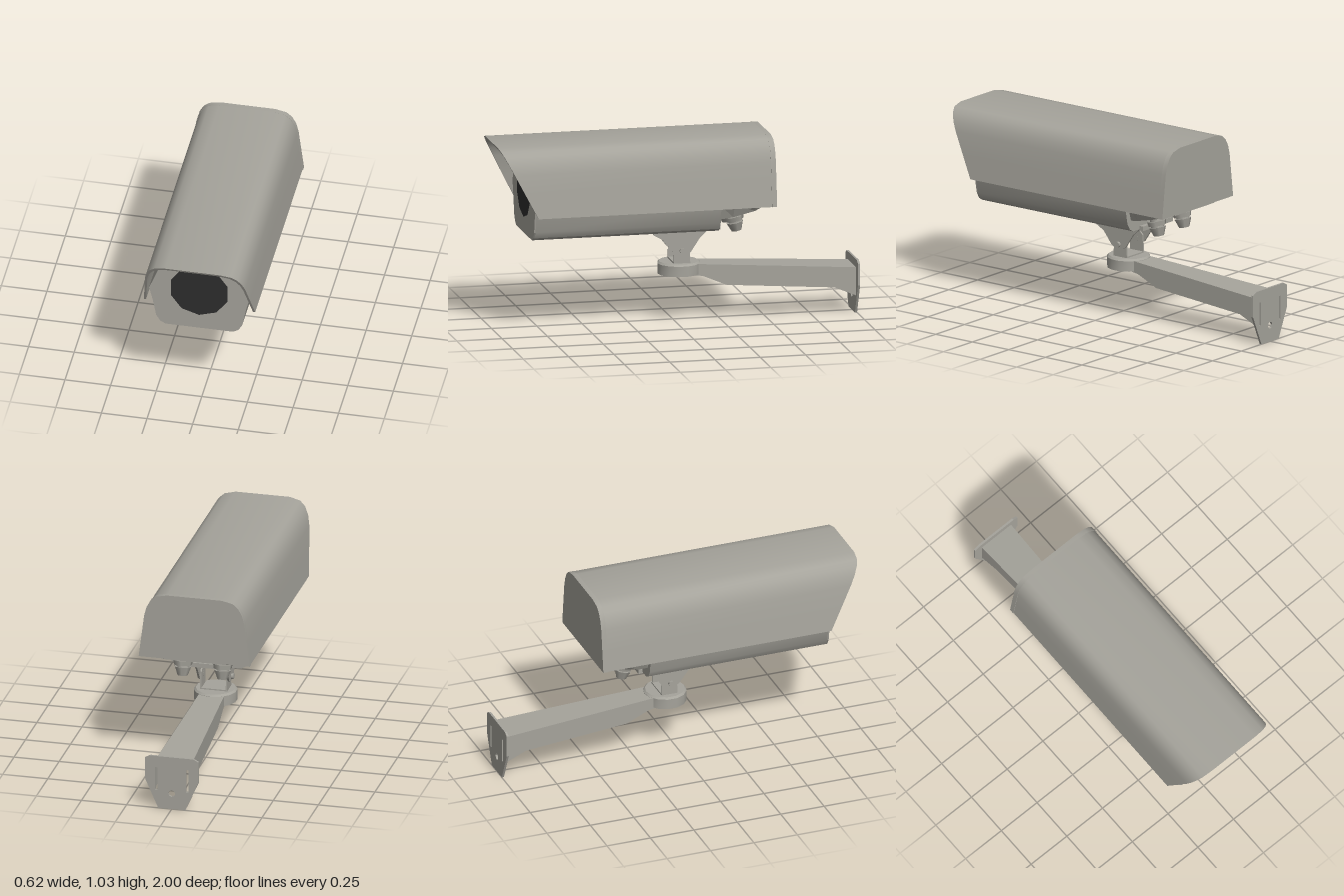
import * as THREE from 'three';
import { toCreasedNormals } from 'three/addons/utils/BufferGeometryUtils.js';

const metal = new THREE.MeshStandardMaterial({ color: 0xa5a39b, side: THREE.DoubleSide });
metal.name = 'warm grey metal';
const glass = new THREE.MeshStandardMaterial({ color: 0x2d2d2d });
glass.name = 'dark glass';

const shapeOf = (pts) => new THREE.Shape(pts.map(([x, y]) => new THREE.Vector2(x, y)));

// right half of an outline, continued by its mirror image
const mirrored = (half) => [...half, ...half.slice().reverse().map(([x, y]) => [-x, y])];

const circleHole = (x, y, r) => new THREE.Path().absarc(x, y, r, 0, Math.PI * 2, true);

// front outline extruded from z0 to z1
function frontExtrude(shape, z0, z1) {
  return new THREE.ExtrudeGeometry(shape, { depth: z1 - z0, bevelEnabled: false, curveSegments: 4 })
    .translate(0, 0, z0);
}

// side outline given as (z, y), extruded to a given width centred on x
function sideExtrude(shape, width) {
  return new THREE.ExtrudeGeometry(shape, { depth: width, bevelEnabled: false, curveSegments: 4 })
    .rotateY(-Math.PI / 2).translate(width / 2, 0, 0);
}

// move every vertex by a rule
function warp(geo, rule) {
  const p = geo.attributes.position;
  const v = new THREE.Vector3();
  for (let i = 0; i < p.count; i++) {
    rule(v.fromBufferAttribute(p, i));
    p.setXYZ(i, v.x, v.y, v.z);
  }
  geo.computeVertexNormals();
  return geo;
}

export function createModel() {
  const model = new THREE.Group();
  model.name = 'securityCamera';
  const add = (name, geo, parent = model, mat = metal) => {
    const mesh = new THREE.Mesh(geo, mat);
    mesh.name = name;
    parent.add(mesh);
    return mesh;
  };

  // sun hood: thin arched shell with a raked front edge
  const hoodHalf = [[0.305, 0.66], [0.29, 0.78], [0.275, 0.9], [0.262, 0.95],
    [0.24, 0.99], [0.21, 1.015], [0.15, 1.028]];
  const innerHalf = hoodHalf.map(([x, y]) => [x - 0.012, y - 0.014 * (y - 0.66) / 0.37]);
  const hoodShape = shapeOf([...mirrored(hoodHalf), ...mirrored(innerHalf).reverse()]);
  const hood = warp(frontExtrude(hoodShape, -0.48, 1), (v) => {
    if (v.z > 0) v.z = 0.81 + 0.19 * (v.y - 0.66) / 0.368;
  });
  add('hood', toCreasedNormals(hood, 0.65));
  add('hoodBackPlate', toCreasedNormals(
    frontExtrude(shapeOf(mirrored(hoodHalf.map(([x, y]) => [x * 1.01, y]))), -0.505, -0.478), 0.65));

  // housing under the hood
  const bodyHalf = [[0.185, 0.518], [0.215, 0.535], [0.236, 0.57], [0.255, 0.67], [0.275, 0.75],
    [0.25, 0.81], [0.195, 0.955], [0.165, 0.982]];
  const bodyShape = shapeOf(mirrored(bodyHalf));
  add('housing', toCreasedNormals(frontExtrude(bodyShape, -0.21, 0.812), 0.4));
  add('housingFrontFrame', frontExtrude(bodyShape, 0.812, 0.82));
  add('housingRearLip', new THREE.BoxGeometry(0.26, 0.025, 0.025).translate(0, 0.524, -0.222));
  add('lens', new THREE.CircleGeometry(0.163, 10, Math.PI / 2).translate(0, 0.77, 0.824), model, glass);

  // sloping rear floor that carries the cable glands
  const floorShape = shapeOf(mirrored([[0.2, -0.2], [0.235, -0.28], [0.235, -0.4], [0.17, -0.485]]));
  const floor = warp(frontExtrude(floorShape, 0, 1).rotateX(Math.PI / 2), (v) => {
    const z = -v.z * -1;
    const isBottom = v.y < -0.5;
    v.set(isBottom ? v.x : v.x * 1.15, isBottom ? 0.582 + 0.24 * (-0.21 - z) : 0.675, z);
  });
  add('rearFloor', floor);
  add('rearCeiling', new THREE.BoxGeometry(0.58, 0.01, 0.29).translate(0, 0.675, -0.335));

  for (const side of [-1, 1]) {
    const gland = new THREE.Group();
    gland.name = side > 0 ? 'leftCableGland' : 'rightCableGland';
    gland.position.set(side * 0.11, 0.555, -0.315);
    gland.rotation.x = 0.21;
    model.add(gland);
    add('glandNeck', new THREE.CylinderGeometry(0.035, 0.035, 0.09, 8).translate(0, 0.02, 0), gland);
    add('glandCollar', new THREE.CylinderGeometry(0.055, 0.05, 0.025, 6).translate(0, 0.012, 0), gland);
    add('glandNut', new THREE.CylinderGeometry(0.046, 0.028, 0.048, 8).translate(0, -0.034, 0), gland);
  }

  // swivel yoke: plate under the housing, upper ears, lower ears and bolts
  add('yokePlate', new THREE.BoxGeometry(0.18, 0.016, 0.32).translate(0, 0.511, -0.03));
  const upperEar = shapeOf([[0.13, 0.515], [0.125, 0.485], [0.07, 0.455], [0.015, 0.385], [-0.01, 0.37],
    [-0.055, 0.37], [-0.08, 0.385], [-0.13, 0.46], [-0.19, 0.515]]);
  const lowerEar = shapeOf([[0.012, 0.31], [0.008, 0.42], [-0.015, 0.44], [-0.055, 0.44],
    [-0.075, 0.42], [-0.08, 0.31]]);
  for (const side of [-1, 1]) {
    add('upperEar', sideExtrude(upperEar, 0.01).translate(side * 0.082, 0, 0));
    add('lowerEar', sideExtrude(lowerEar, 0.008).translate(side * 0.071, 0, 0));
    add('yokeBolt', new THREE.CylinderGeometry(0.016, 0.016, 0.035, 6).rotateZ(Math.PI / 2)
      .translate(side * 0.084, 0.395, -0.032));
  }
  add('lowerYokePlate', new THREE.BoxGeometry(0.15, 0.01, 0.092).translate(0, 0.324, -0.034));

  // round arm head: a cup open at the bottom
  const cup = [[0, 0.322], [0.108, 0.322], [0.118, 0.312], [0.118, 0.255], [0.106, 0.255],
    [0.104, 0.308], [0, 0.308]].map(([x, y]) => new THREE.Vector2(x, y));
  add('armHead', toCreasedNormals(new THREE.LatheGeometry(cup, 14).translate(0, 0, -0.033), 0.55));

  // arm: channel open below, widening toward the wall
  const halfWidth = (z) => 0.068 + 0.034 * (-z - 0.1) / 0.88;
  const armSide = shapeOf([[-0.11, 0.312], [-0.11, 0.25], [-0.15, 0.245], [-0.28, 0.19],
    [-0.87, 0.15], [-0.99, 0.1], [-0.99, 0.255]]);
  for (const side of [-1, 1]) {
    add('armSide', warp(sideExtrude(armSide, 0.008), (v) => { v.x += side * (halfWidth(v.z) - 0.004); }));
  }
  const armTop = shapeOf([[-0.1, 0.313], [-0.99, 0.256], [-0.99, 0.246], [-0.1, 0.303]]);
  add('armTop', warp(sideExtrude(armTop, 2), (v) => { v.x *= halfWidth(v.z); }));

  // wall plate with screw hole and two slots
  const plate = shapeOf(mirrored([[0.075, 0], [0.148, 0.165], [0.148, 0.285], [0.12, 0.3]]));
  plate.holes.push(circleHole(0, 0.09, 0.019));
  for (const side of [-1, 1]) {
    plate.holes.push(new THREE.Path([[0.078, 0.105], [0.092, 0.105], [0.092, 0.235], [0.078, 0.235]]
      .map(([x, y]) => new THREE.Vector2(side * x, y))));
  }
  add('wallPlate', frontExtrude(plate, -1, -0.988));

  return model;
}
